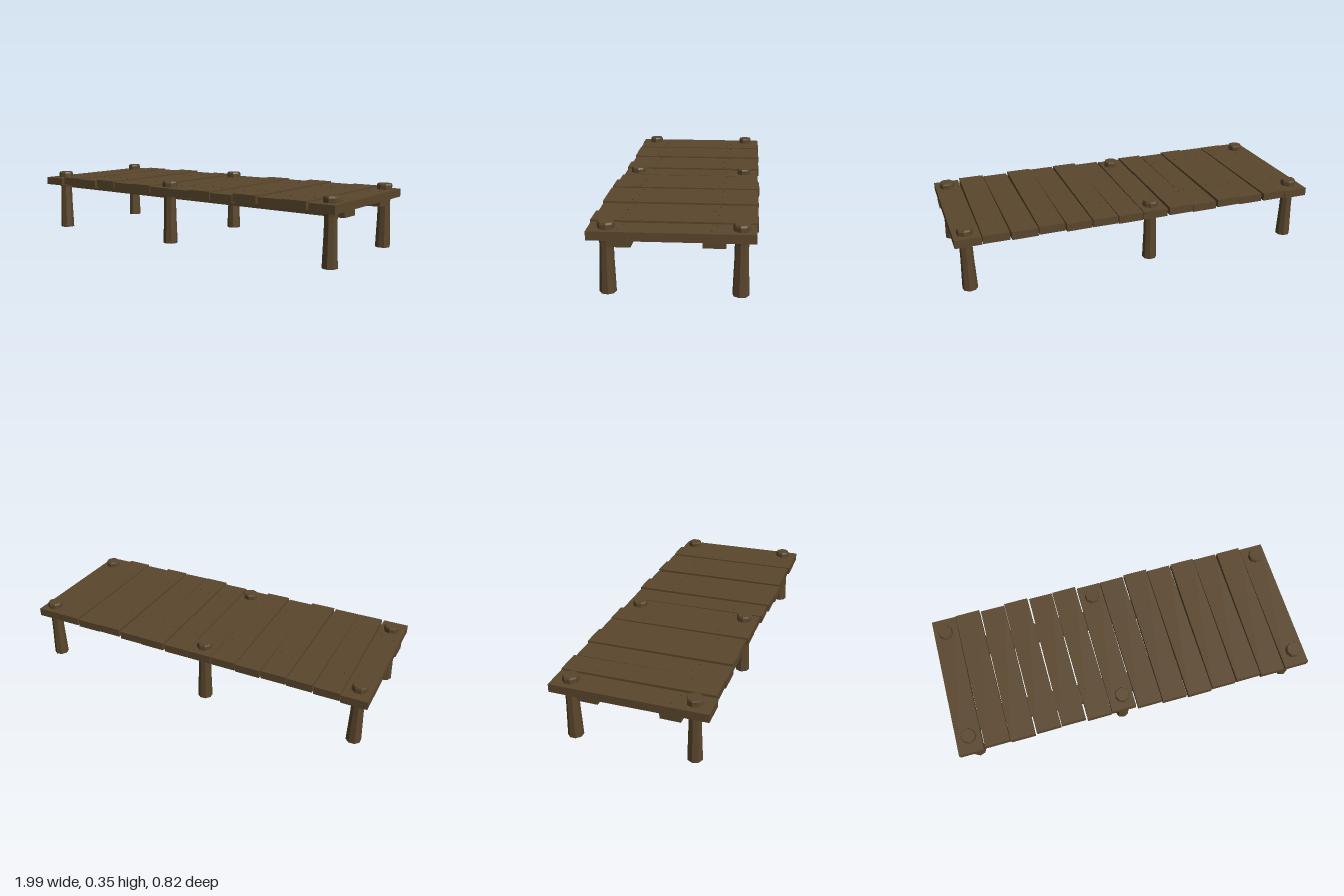
import * as THREE from 'three';

export function createModel() {
  const model = new THREE.Group();
  model.name = 'dock';
  const wood = new THREE.MeshStandardMaterial({ color: 0x5a462c });
  wood.name = 'weathered wood';
  wood.flatShading = true;

  const add = (geometry, name, x, y, z, parent = model) => {
    const mesh = new THREE.Mesh(geometry, wood);
    mesh.name = name;
    mesh.position.set(x, y, z);
    parent.add(mesh);
    return mesh;
  };

  // Deck planks: back end, front end and top height of each, from -x to +x
  const planks = [
    [-0.41, 0.39, 0.314], [-0.41, 0.38, 0.321], [-0.40, 0.385, 0.318], [-0.405, 0.38, 0.325],
    [-0.40, 0.375, 0.318], [-0.40, 0.385, 0.322], [-0.39, 0.38, 0.315], [-0.39, 0.39, 0.315],
    [-0.395, 0.40, 0.322], [-0.385, 0.405, 0.317], [-0.385, 0.40, 0.325], [-0.38, 0.395, 0.318],
    [-0.38, 0.405, 0.322], [-0.37, 0.40, 0.315],
  ];
  const thick = 0.043;
  const nailGeometry = new THREE.CylinderGeometry(0.004, 0.004, 0.006, 6);
  planks.forEach(([back, front, top], i) => {
    const x = -0.926 + i * 0.1424;
    const group = new THREE.Group();
    group.name = 'plank' + (i + 1);
    group.position.set(x, top, (back + front) / 2);
    group.rotation.y = (i % 2 ? 1 : -1) * 0.004;
    model.add(group);
    add(new THREE.BoxGeometry(0.136, thick, front - back), 'board', 0, -thick / 2, 0, group);
    // Nail heads over both beams
    for (const beamZ of [-0.2, 0.23]) {
      for (const side of [-1, 1]) {
        const z = beamZ + x * 0.02 + side * 0.012 - group.position.z;
        add(nailGeometry, 'nail', side * 0.036, 0.001, z, group);
      }
    }
  });

  // Two long beams beneath the deck, slightly skewed
  [['backBeam', -0.197, 0.034, 0.982], ['frontBeam', 0.226, 0.044, 0.995]].forEach(([name, z, skew, half]) => {
    const beam = add(new THREE.BoxGeometry(half * 2, 0.04, 0.105), name, 0, 0.263, z);
    beam.rotation.y = -skew / 2;
  });

  // Six eight-sided posts that narrow at the middle and rise through the deck
  const profile = [
    [0, 0], [0.04, 0], [0.038, 0.06], [0.034, 0.17], [0.033, 0.25],
    [0.037, 0.29], [0.041, 0.315], [0.041, 0.337], [0.037, 0.346], [0, 0.346],
  ].map(([r, y]) => new THREE.Vector2(r, y));
  const postGeometry = new THREE.LatheGeometry(profile, 8);
  const posts = [
    [-0.926, -0.322], [-0.068, -0.313], [0.929, -0.303],
    [-0.923, 0.3], [-0.063, 0.306], [0.932, 0.315],
  ];
  posts.forEach(([x, z], i) => {
    add(postGeometry, 'post' + (i + 1), x, 0, z).rotation.y = 0.39 + i * 0.11;
  });

  return model;
}
